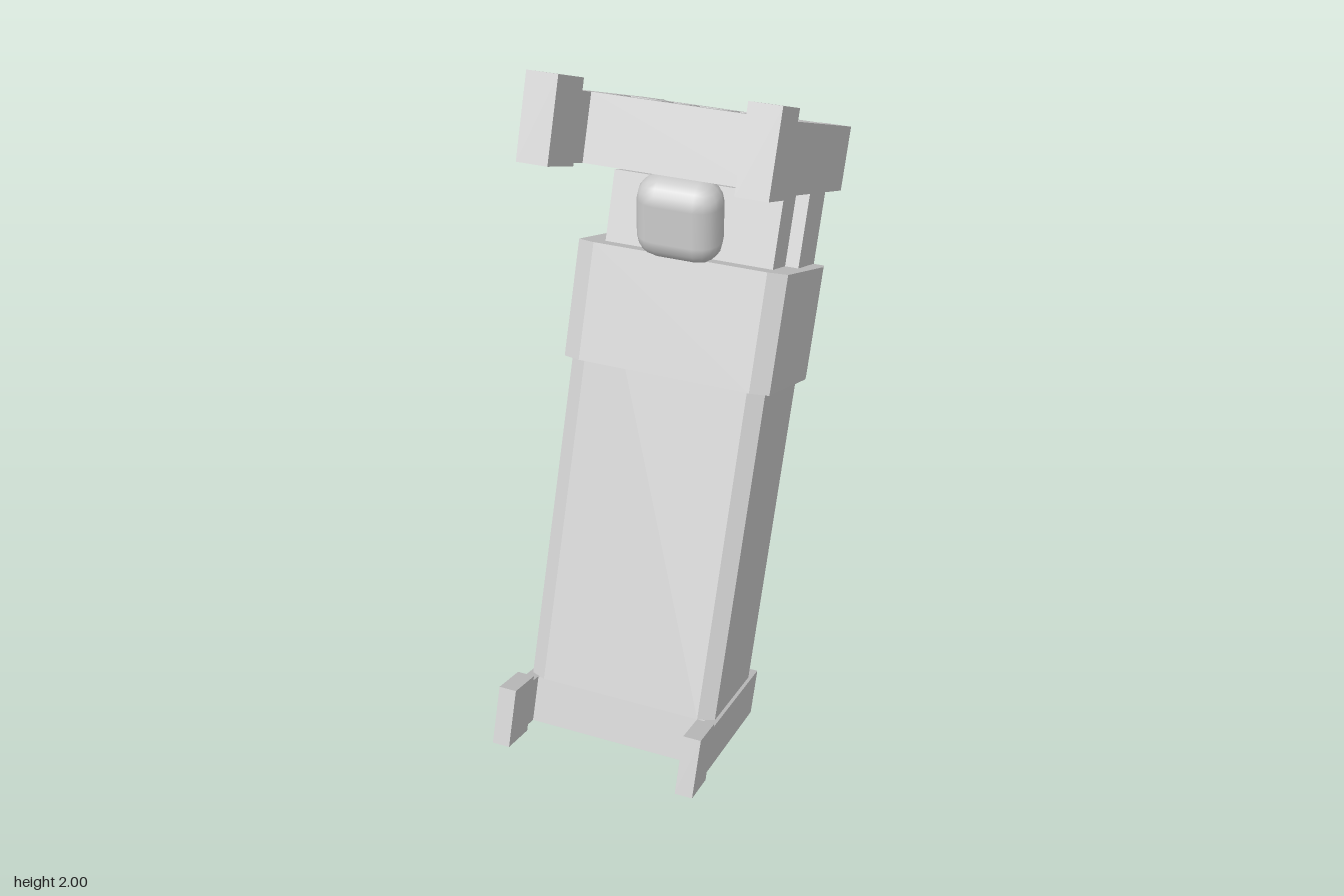
import * as THREE from 'three';
import { RoundedBoxGeometry } from 'three/addons/geometries/RoundedBoxGeometry.js';

const material = new THREE.MeshStandardMaterial({ color: 0xcccccc });

function add(parent, name, geometry) {
  const mesh = new THREE.Mesh(geometry, material);
  mesh.name = name;
  parent.add(mesh);
  return mesh;
}

// Box from its limits: x across the bed, y along it, z away from the underside
function block(parent, name, [x0, x1], [y0, y1], [z0, z1]) {
  const geometry = new THREE.BoxGeometry(x1 - x0, y1 - y0, z1 - z0);
  geometry.translate((x0 + x1) / 2, (y0 + y1) / 2, (z0 + z1) / 2);
  return add(parent, name, geometry);
}

const polygon = (points) => points.map(([x, z]) => new THREE.Vector2(x, z));

// Extrude an x-z outline along the bed from y0 to y1
function slab(parent, name, shape, y0, y1) {
  const geometry = new THREE.ExtrudeGeometry(shape, { depth: y1 - y0, bevelEnabled: false });
  geometry.rotateX(Math.PI / 2);
  geometry.translate(0, y1, 0);
  return add(parent, name, geometry);
}

// Mirror half of a cross-section (listed from the bottom up) across x = 0
function mirrored(half) {
  const other = half.map(([x, z]) => [-x, z]).reverse();
  return new THREE.Shape(polygon([...half, ...other]));
}

// End board: slotted panel between two posts with thicker tops
function endBoard(parent, name, o) {
  const board = new THREE.Group();
  board.name = name;
  parent.add(board);
  const rect = (x0, x1, [z0, z1]) => polygon([[x0, z0], [x1, z0], [x1, z1], [x0, z1]]);
  const panel = new THREE.Shape(rect(-o.postX[0], o.postX[0], o.panelZ));
  for (const [x0, x1] of o.slots) {
    panel.holes.push(new THREE.Path(rect(x0, x1, o.slotZ).reverse()));
  }
  slab(board, name + 'Panel', panel, ...o.y);
  for (const side of [1, -1]) {
    const span = ([a, b]) => (side > 0 ? [a, b] : [-b, -a]);
    block(board, name + 'Post', span(o.postX), o.y, o.postZ);
    block(board, name + 'PostTop', span(o.capX), o.capY, o.capZ);
  }
}

// A centre slot plus mirrored pairs
const slotRow = (centre, pairs) => [
  [-centre, centre],
  ...pairs.flatMap(([a, b]) => [[a, b], [-b, -a]]),
];

export function createModel() {
  const model = new THREE.Group();
  model.name = 'tiltedBed';

  // Whole bed leans back from its foot end
  const bed = new THREE.Group();
  bed.name = 'bed';
  bed.rotation.x = -0.415;
  bed.position.set(0, 0, 0.06);
  model.add(bed);

  endBoard(bed, 'headboard', {
    y: [1.595, 1.772], panelZ: [0.165, 0.619], slotZ: [0.334, 0.482],
    slots: slotRow(0.04, [[0.07, 0.115], [0.142, 0.236]]),
    postX: [0.24, 0.307], postZ: [0.025, 0.7],
    capX: [0.232, 0.314], capY: [1.588, 1.804], capZ: [0.7, 0.865],
  });
  endBoard(bed, 'footboard', {
    y: [0, 0.135], panelZ: [0.1, 0.442], slotZ: [0.24, 0.345],
    slots: slotRow(0.026, [[0.048, 0.127], [0.148, 0.243]]),
    postX: [0.25, 0.284], postZ: [0, 0.5],
    capX: [0.242, 0.291], capY: [-0.008, 0.158], capZ: [0.5, 0.625],
  });

  // Mattress and pillow
  block(bed, 'mattress', [-0.24, 0.24], [0.13, 1.6], [0.062, 0.255]);
  block(bed, 'pillow', [-0.235, 0.235], [1.36, 1.578], [0.25, 0.39]);

  // Blanket with chamfered top edges, and its wider folded-over end
  slab(bed, 'blanket', mirrored([[0.274, 0.068], [0.274, 0.425], [0.23, 0.45]]), 0.135, 1.383);
  slab(bed, 'bedSide', mirrored([[0.272, 0.064], [0.272, 0.255]]), 1.383, 1.59);
  slab(bed, 'blanketFold',
    mirrored([[0.302, 0.068], [0.31, 0.115], [0.29, 0.445], [0.24, 0.468]]), 1.065, 1.385);

  // Upright rounded head above the fold
  const head = add(model, 'sleeperHead', new RoundedBoxGeometry(0.23, 0.225, 0.13, 2, 0.062));
  head.position.set(0, 1.566, -0.08);

  return model;
}
